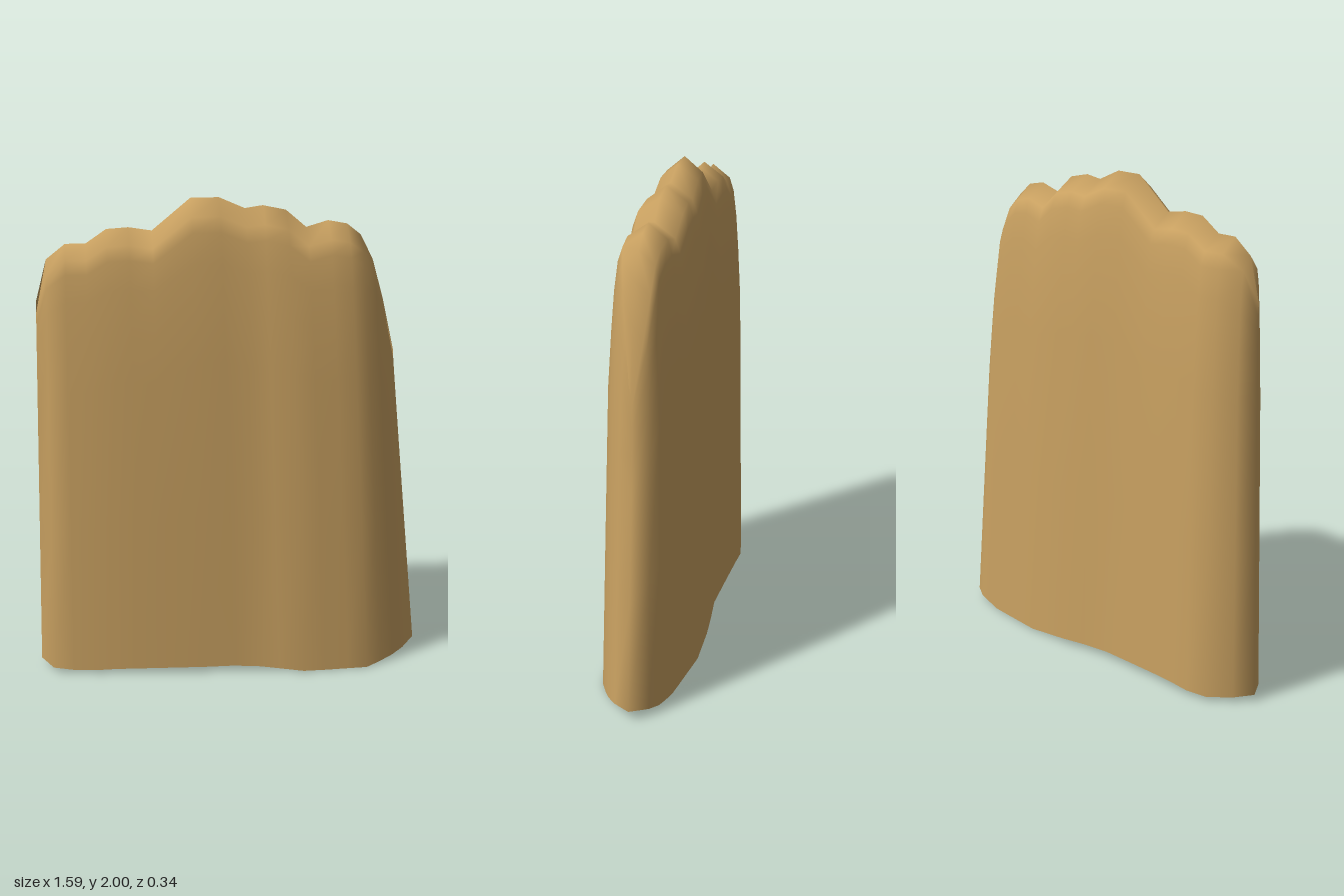
import * as THREE from 'three';
import { mergeVertices } from 'three/addons/utils/BufferGeometryUtils.js';

// Upper outline of the slab, left shoulder to right shoulder: [x, y]
const CREST = [
  [-0.755, 1.6], [-0.71, 1.77], [-0.635, 1.83], [-0.555, 1.83], [-0.475, 1.885],
  [-0.39, 1.89], [-0.3, 1.875], [-0.15, 2.0], [-0.04, 2.0], [0.06, 1.955],
  [0.13, 1.965], [0.22, 1.945], [0.3, 1.875], [0.385, 1.9], [0.46, 1.885],
  [0.515, 1.84], [0.565, 1.74], [0.61, 1.58], [0.66, 1.36],
];

// Bottom rim, front and back halves: [x, z]
const RIM_FRONT = [
  [-0.795, -0.01], [-0.75, 0.075], [-0.6, 0.105], [-0.42, 0.125], [-0.1, 0.137],
  [0.1, 0.133], [0.31, 0.17], [0.58, 0.15], [0.72, 0.075], [0.795, -0.02],
];
const RIM_BACK = [
  [-0.795, -0.01], [-0.73, -0.1], [-0.63, -0.16], [-0.4, -0.155], [-0.12, -0.145],
  [0.08, -0.17], [0.3, -0.175], [0.55, -0.14], [0.72, -0.11], [0.795, -0.02],
];

// Slight waviness of the rim: [x, y]
const RIM_HEIGHT = [
  [-0.795, 0.025], [-0.63, 0.014], [-0.45, 0.028], [0, 0.027],
  [0.3, 0.005], [0.58, 0], [0.795, 0.045],
];

// Taper up the slab: [fraction of height, fraction of rim thickness]
const TAPER = [
  [0, 1], [0.35, 0.93], [0.68, 0.86], [0.8, 0.78], [0.88, 0.71],
  [0.94, 0.62], [0.97, 0.5], [1, 0],
];

function sample(table, x) {
  let i = 0;
  while (i < table.length - 2 && x > table[i + 1][0]) i++;
  const [x0, y0] = table[i], [x1, y1] = table[i + 1];
  return THREE.MathUtils.lerp(y0, y1, THREE.MathUtils.clamp((x - x0) / (x1 - x0), 0, 1));
}

function createShell() {
  // Columns run along the front, then return along the back
  const last = CREST.length - 1;
  const columns = [];
  for (let i = 0; i <= last; i++) columns.push([i, RIM_FRONT]);
  for (let i = last - 1; i > 0; i--) columns.push([i, RIM_BACK]);

  const positions = [];
  for (const [v, thickness] of TAPER) {
    for (const [i, rim] of columns) {
      const [topX, topY] = CREST[i];
      const rimX = THREE.MathUtils.mapLinear(topX, CREST[0][0], CREST[last][0], -0.795, 0.795);
      positions.push(
        THREE.MathUtils.lerp(rimX, topX, v),
        THREE.MathUtils.lerp(sample(RIM_HEIGHT, rimX), topY, v),
        sample(rim, rimX) * thickness
      );
    }
  }

  const n = columns.length;
  const index = [];
  for (let r = 0; r < TAPER.length - 1; r++) {
    for (let c = 0; c < n; c++) {
      const a = r * n + c, b = r * n + (c + 1) % n;
      index.push(a, b, b + n, a, b + n, a + n);
    }
  }

  // Welding closes the crest while the bottom stays open
  let geometry = new THREE.BufferGeometry();
  geometry.setAttribute('position', new THREE.Float32BufferAttribute(positions, 3));
  geometry.setIndex(index);
  geometry = mergeVertices(geometry, 1e-4);
  geometry.computeVertexNormals();
  return geometry;
}

export function createModel() {
  const group = new THREE.Group();
  group.name = 'scallopedSlab';
  const material = new THREE.MeshStandardMaterial({ color: 0xc9a161, side: THREE.DoubleSide });
  const shell = new THREE.Mesh(createShell(), material);
  shell.name = 'shell';
  group.add(shell);
  return group;
}
